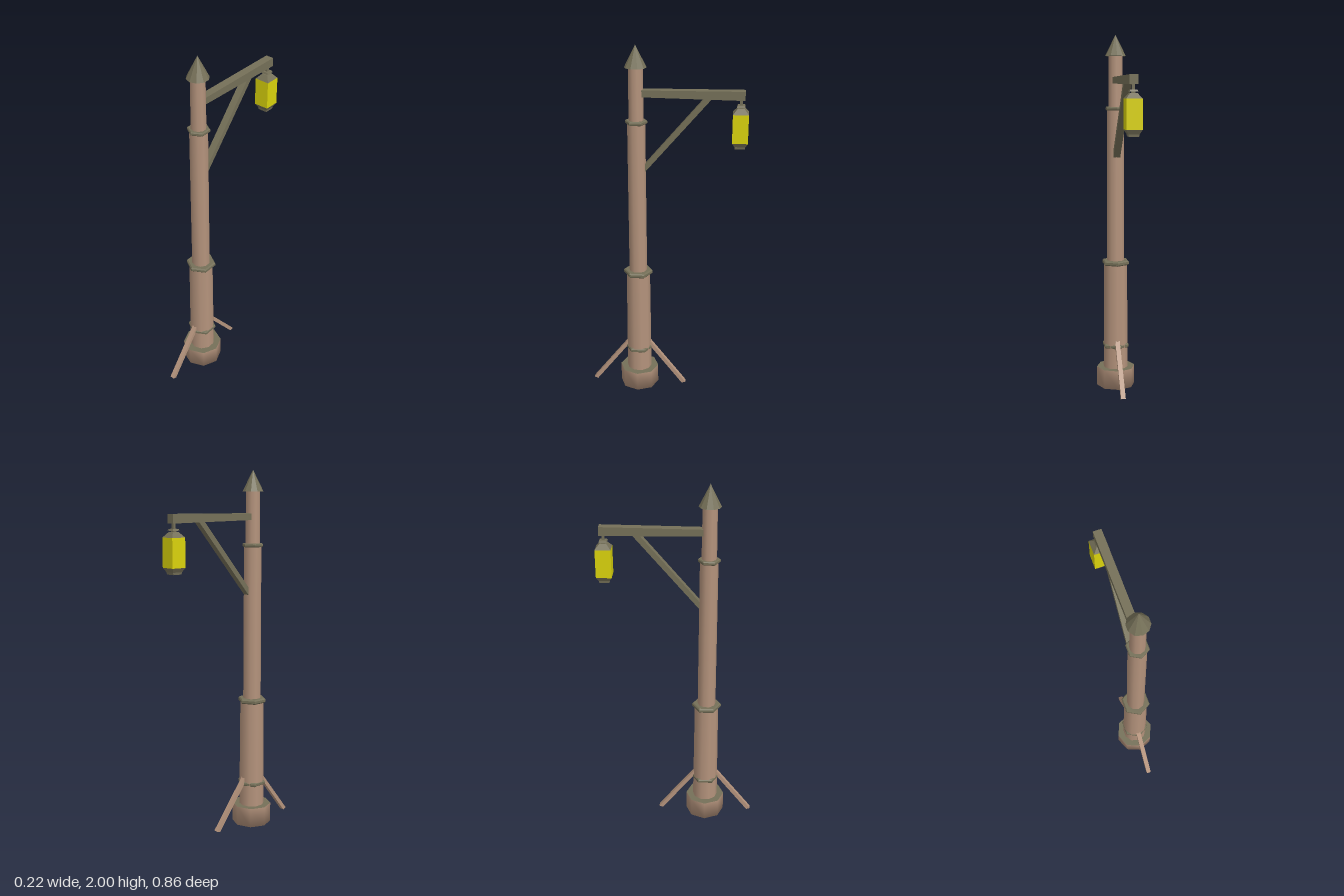
import * as THREE from 'three';

const POST_Z = 0.155;
const LANTERN_Z = -0.388;

export function createModel() {
  const wood = new THREE.MeshStandardMaterial({ name: 'tan wood', color: 0xb4937c });
  const metal = new THREE.MeshStandardMaterial({ name: 'olive metal', color: 0x757058 });
  const glass = new THREE.MeshStandardMaterial({ name: 'yellow glass', color: 0xdad30c });
  const model = new THREE.Group();
  model.name = 'lampPost';

  const add = (parent, name, geometry, material, x = 0, y = 0, z = 0) => {
    const mesh = new THREE.Mesh(geometry, material);
    mesh.name = name;
    mesh.position.set(x, y, z);
    parent.add(mesh);
    return mesh;
  };
  // Turned part from [radius, height] pairs, listed bottom to top
  const turned = (profile, sides, flat = false) => {
    const g = new THREE.LatheGeometry(profile.map(([r, y]) => new THREE.Vector2(r, y)), sides);
    if (!flat) return g;
    const f = g.toNonIndexed();
    f.computeVertexNormals();
    return f;
  };
  // Beam of constant width, side outline given as [z, y] pairs
  const beam = (outline, width) => {
    const shape = new THREE.Shape(outline.map(([z, y]) => new THREE.Vector2(z, y)));
    return new THREE.ExtrudeGeometry(shape, { depth: width, bevelEnabled: false })
      .translate(0, 0, -width / 2).rotateY(-Math.PI / 2);
  };

  // Post: octagonal foot with a metal top, then three narrowing shafts
  const post = new THREE.Group();
  post.name = 'post';
  post.position.z = POST_Z;
  model.add(post);
  add(post, 'foot', turned([[0, 0], [0.11, 0], [0.11, 0.11]], 8), wood);
  add(post, 'footTop', turned([[0.11, 0.11], [0, 0.11]], 8), metal);
  add(post, 'lowerShaft', turned([[0.071, 0.1], [0.066, 0.73]], 10), wood);
  add(post, 'middleShaft', turned([[0.05, 0.72], [0.048, 1.6]], 10), wood);
  add(post, 'topShaft', turned([[0.04, 1.59], [0.038, 1.9]], 10), wood);
  add(post, 'pointedCap', turned([[0, 1.885], [0.058, 1.885], [0, 2]], 10, true), metal);

  // Six-sided bands around the joints
  for (const [name, r, y, h] of [
    ['lowerBand', 0.08, 0.24, 0.024],
    ['middleBand', 0.081, 0.728, 0.026],
    ['upperBand', 0.059, 1.599, 0.02],
  ]) {
    const a = h / 2;
    add(post, name, turned([
      [0, -a], [r * 0.92, -a], [r, -a * 0.5], [r, a * 0.5], [r * 0.92, a], [0, a],
    ], 6, true), metal, 0, y);
  }

  // Slanted props on both sides of the foot
  for (const side of [1, -1]) {
    const outline = [[0.273, 0.008], [0.062, 0.283], [0.052, 0.262], [0.252, 0]]
      .map(([z, y]) => [z * side, y]);
    add(post, side > 0 ? 'frontProp' : 'backProp', beam(outline, 0.026), wood);
  }

  // Arm and its diagonal brace
  add(model, 'arm', beam([[0.13, 1.735], [0.13, 1.771], [-0.408, 1.777], [-0.408, 1.73]], 0.044), metal);
  add(model, 'brace', beam([[0.108, 1.33], [0.108, 1.372], [-0.205, 1.74], [-0.243, 1.74]], 0.038), metal);

  // Hanging lantern: square sections, bottom to top
  const lantern = new THREE.Group();
  lantern.name = 'lantern';
  lantern.position.z = LANTERN_Z;
  model.add(lantern);
  const square = (name, bottom, top, y0, y1, material) => {
    const g = new THREE.CylinderGeometry(top * Math.SQRT2, bottom * Math.SQRT2, y1 - y0, 4)
      .rotateY(Math.PI / 4).toNonIndexed();
    g.computeVertexNormals();
    add(lantern, name, g, material, 0, (y0 + y1) / 2);
  };
  square('bottomPlate', 0.026, 0.028, 1.474, 1.486, metal);
  square('lanternBase', 0.028, 0.041, 1.486, 1.508, metal);
  square('lanternGlass', 0.041, 0.041, 1.508, 1.66, glass);
  square('lanternRoof', 0.041, 0.018, 1.66, 1.687, metal);
  square('neck', 0.01, 0.01, 1.687, 1.695, metal);
  square('neckPlate', 0.022, 0.018, 1.694, 1.703, metal);
  square('hanger', 0.007, 0.007, 1.703, 1.735, metal);

  return model;
}
